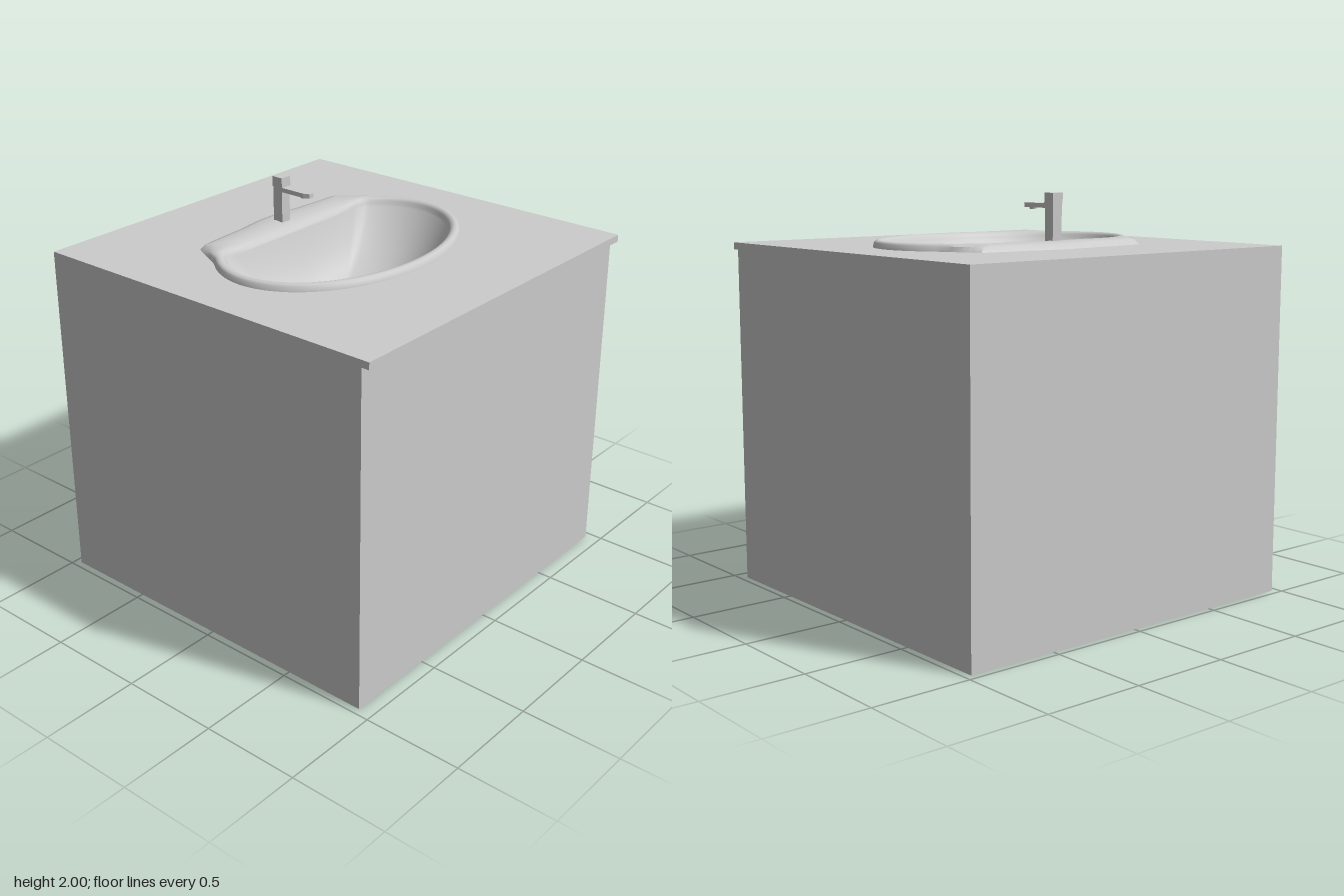
import * as THREE from 'three';
import { toCreasedNormals } from 'three/addons/utils/BufferGeometryUtils.js';

const grey = new THREE.MeshStandardMaterial({ color: 0xcccccc });
const greyDouble = new THREE.MeshStandardMaterial({ color: 0xcccccc, side: THREE.DoubleSide });
const STEPS = 144;
const COUNTER_Y = 1.74;
const DRAIN_R = 0.057;

function add(parent, name, geometry, material = grey, x = 0, y = 0, z = 0) {
  const mesh = new THREE.Mesh(geometry, material);
  mesh.name = name;
  mesh.position.set(x, y, z);
  parent.add(mesh);
  return mesh;
}

const ellipse = (c, s, rx, rz) => 1 / Math.hypot(c / rx, s / rz);

// Outer rim radius: an ellipse with a wide, flat shoulder at the back
function outerRadius(a) {
  const c = Math.abs(Math.cos(a)), s = Math.sin(a);
  const round = ellipse(c, s, 0.7, 0.5);
  if (s > -0.36) return round;
  const back = (0.48 - 0.025 * Math.min(1, (c / s / 1.1) ** 2)) / -s;
  const side = 0.722 / (c - 0.488 * s);   // slanting shoulder line
  return Math.max(round, Math.min(back, side));
}

// Bowl opening radius: an ellipse cut nearly straight at the back
function innerRadius(a) {
  const c = Math.cos(a), s = Math.sin(a);
  const round = ellipse(c, s, 0.645, 0.44);
  return s < 0 ? Math.min(round, 0.28 / -s) : round;
}

// Rim and bowl as one skin of closed rings, from the rim's foot to the drain
function basinGeometry() {
  const rings = [];
  const rim = [[0, 1.738], [0.1, 1.764], [0.25, 1.772], [0.5, 1.775], [0.75, 1.77], [0.9, 1.76], [1, 1.745]];
  for (const [t, y] of rim) {
    rings.push([a => THREE.MathUtils.lerp(outerRadius(a), innerRadius(a), t), y]);
  }
  for (let i = 1; i <= 16; i++) {
    const t = (i / 16) ** 1.5;
    rings.push([a => THREE.MathUtils.lerp(innerRadius(a), DRAIN_R, t), 1.745 - 0.3 * (1 - (1 - t) ** 2.4)]);
  }
  const positions = [], index = [];
  rings.forEach(([radius, y], r) => {
    for (let i = 0; i < STEPS; i++) {
      const a = (i / STEPS) * Math.PI * 2, d = radius(a);
      positions.push(d * Math.cos(a), y, d * Math.sin(a));
      if (r === 0) continue;
      const j = (i + 1) % STEPS, p = (r - 1) * STEPS, q = r * STEPS;
      index.push(p + i, q + i, p + j, p + j, q + i, q + j);
    }
  });
  const g = new THREE.BufferGeometry();
  g.setAttribute('position', new THREE.Float32BufferAttribute(positions, 3));
  g.setIndex(index);
  return toCreasedNormals(g, 0.7);
}

// Flat plan shape (x, z) extruded downwards from y = 0
function slab(shape, depth) {
  return new THREE.ExtrudeGeometry(shape, { depth, bevelEnabled: false }).rotateX(Math.PI / 2);
}

const polygon = pts => new THREE.Shape(pts.map(([x, y]) => new THREE.Vector2(x, y)));

export function createModel() {
  const model = new THREE.Group();
  model.name = 'vanityUnit';

  // Cabinet: box with its top face left out, so the bowl hangs inside
  const box = new THREE.BoxGeometry(1.93, 1.705, 1.89);
  box.setIndex([...box.index.array].filter((_, i) => i < 12 || i >= 18));
  box.clearGroups();
  add(model, 'cabinet', box, greyDouble, 0, 0.8525, -0.02);

  // Countertop with a cut-out for the basin and an overhanging front lip
  const top = polygon([[-0.965, -0.965], [0.965, -0.965], [0.965, 0.965], [-0.965, 0.965]]);
  const cutout = [];
  for (let i = 0; i < STEPS; i++) {
    const a = (i / STEPS) * Math.PI * 2, d = outerRadius(a) - 0.012;
    cutout.push(new THREE.Vector2(d * Math.cos(a), d * Math.sin(a)));
  }
  top.holes.push(new THREE.Path(cutout));
  add(model, 'countertop', slab(top, 0.035), grey, 0, COUNTER_Y, 0);

  // Basin
  const basin = new THREE.Group();
  basin.name = 'basin';
  model.add(basin);
  add(basin, 'basinSkin', basinGeometry(), greyDouble);
  add(basin, 'drain', new THREE.CylinderGeometry(DRAIN_R, DRAIN_R, 0.01, 32), grey, 0, 1.442, 0);

  // Square mixer tap
  const tap = new THREE.Group();
  tap.name = 'tap';
  tap.position.z = -0.377;
  model.add(tap);
  add(tap, 'tapColumn', new THREE.BoxGeometry(0.056, 0.19, 0.056), grey, 0, 1.855, 0);
  add(tap, 'tapHandle', new THREE.BoxGeometry(0.062, 0.05, 0.062), grey, 0, 1.975, 0);
  const spout = polygon([[-0.026, 0.02], [0.026, 0.02], [0.026, 0.165], [0.013, 0.196], [-0.013, 0.196], [-0.026, 0.165]]);
  add(tap, 'spout', slab(spout, 0.022), grey, 0, 1.95, 0);
  add(tap, 'spoutOutlet', new THREE.CylinderGeometry(0.018, 0.016, 0.01, 20), grey, 0, 1.925, 0.15);

  return model;
}
